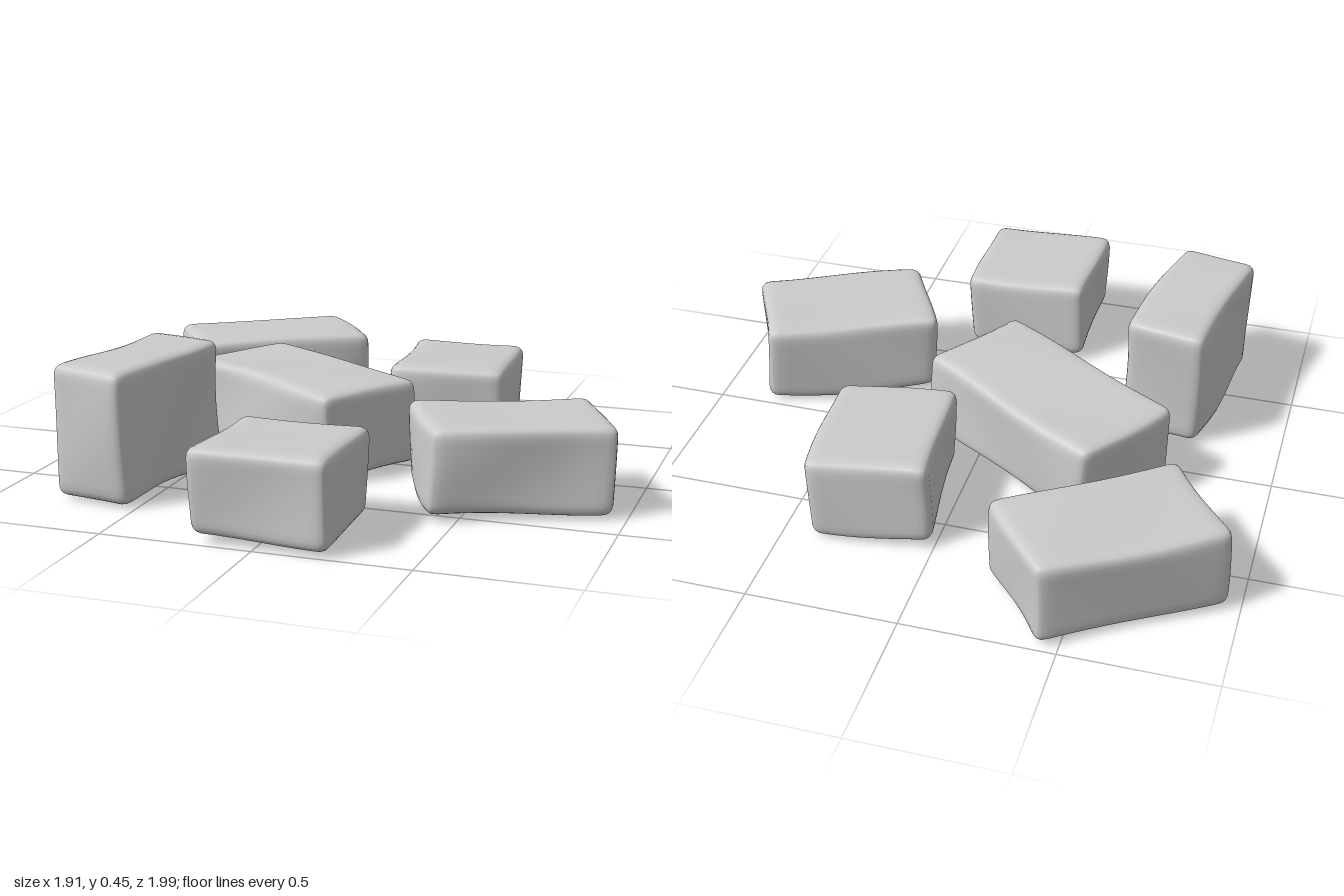
import * as THREE from 'three';
import { mergeVertices } from 'three/addons/utils/BufferGeometryUtils.js';

const SEGMENTS = 16;
const RADIUS = 0.035;

// Plan corners [x, z]: back-left, back-right, front-right, front-left; bottom and top heights.
const STONES = [
  { name: 'backLongStone', corners: [[-0.96, -0.65], [-0.43, -1.0], [-0.2, -0.69], [-0.73, -0.32]], y: [0.01, 0.295] },
  { name: 'backShortStone', corners: [[0.01, -0.64], [0.41, -0.68], [0.46, -0.21], [0.06, -0.165]], y: [0.015, 0.305] },
  { name: 'centreStone', corners: [[-0.44, -0.42], [0.21, 0.0], [0.0, 0.34], [-0.66, -0.07]], y: [0.015, 0.31] },
  { name: 'leftStone', corners: [[0.25, 0.23], [0.81, 0.0], [0.965, 0.36], [0.42, 0.59]], y: [0.015, 0.3] },
  { name: 'tallStone', corners: [[-0.71, 0.145], [-0.43, 0.19], [-0.53, 0.77], [-0.8, 0.72]], y: [0.005, 0.44] },
  { name: 'frontStone', corners: [[-0.205, 0.57], [0.225, 0.57], [0.24, 1.0], [-0.205, 1.0]], y: [0.02, 0.3] },
];

// Crowds grid lines towards the edges so the rounding is well resolved.
const crowd = (t) => Math.sign(t) * (1 - (1 - Math.abs(t)) ** 2);

function createStone({ name, corners, y }, index) {
  const [a, b, c, d] = corners.map(([x, z]) => new THREE.Vector2(x, z));
  const half = new THREE.Vector3(
    (a.distanceTo(b) + d.distanceTo(c)) / 4,
    (y[1] - y[0]) / 2,
    (a.distanceTo(d) + b.distanceTo(c)) / 4
  );
  const inner = half.clone().subScalar(RADIUS);
  const base = new THREE.BoxGeometry(2, 2, 2, SEGMENTS, SEGMENTS, SEGMENTS);
  base.deleteAttribute('uv');
  base.deleteAttribute('normal');
  const geometry = mergeVertices(base);
  const position = geometry.attributes.position;
  const p = new THREE.Vector3();
  const core = new THREE.Vector3();
  const phase = index * 1.7;

  for (let i = 0; i < position.count; i++) {
    p.fromBufferAttribute(position, i);
    p.set(crowd(p.x), crowd(p.y), crowd(p.z)).multiply(half);

    // Round the edges and corners
    core.copy(p).clamp(inner.clone().negate(), inner);
    p.sub(core).setLength(RADIUS).add(core);

    // Gentle hand-cut waviness, strongest on the underside
    const { x, y: h, z } = p;
    const under = h < 0 ? 0.012 : 0.006;
    p.x += 0.008 * Math.sin(9 * z + 7 * h + phase);
    p.z += 0.008 * Math.sin(8 * x - 9 * h + phase * 2);
    p.y += under * Math.sin(7 * x + 6 * z + phase) * Math.cos(6 * z - phase);

    // Fit the block to its four plan corners
    const u = p.x / half.x / 2 + 0.5;
    const v = p.z / half.z / 2 + 0.5;
    const back = a.clone().lerp(b, u);
    const plan = back.lerp(d.clone().lerp(c, u), v);
    position.setXYZ(i, plan.x, Math.max(0, p.y + (y[0] + y[1]) / 2), plan.y);
  }
  geometry.computeVertexNormals();

  const stone = new THREE.Mesh(geometry, new THREE.MeshStandardMaterial({ color: 0xcccccc }));
  stone.name = name;
  return stone;
}

export function createModel() {
  const group = new THREE.Group();
  group.name = 'scatteredStones';
  STONES.forEach((stone, i) => group.add(createStone(stone, i)));
  return group;
}
